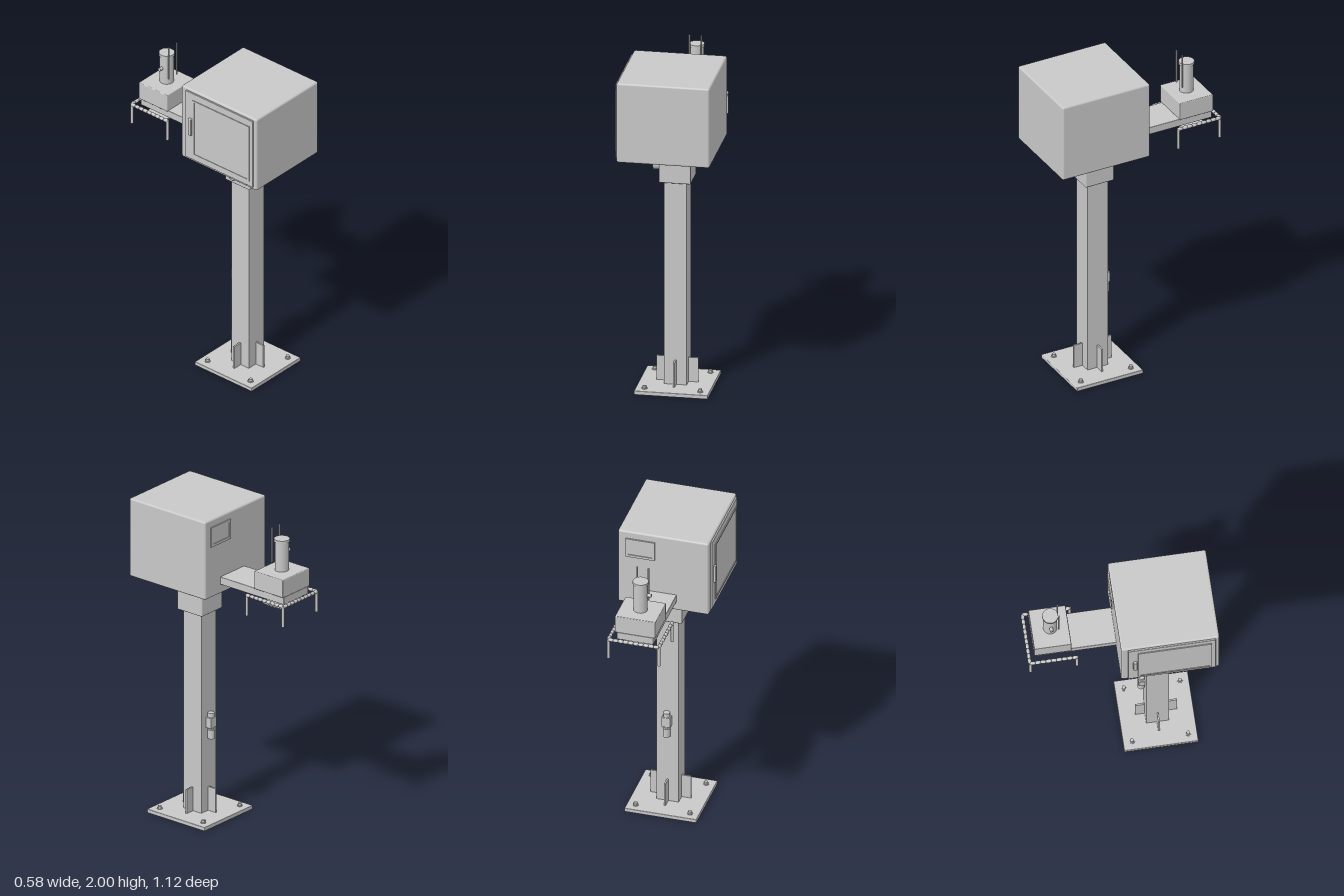
import * as THREE from 'three';
import { RoundedBoxGeometry } from 'three/addons/geometries/RoundedBoxGeometry.js';

export function createModel() {
  const root = new THREE.Group();
  const grey = new THREE.MeshStandardMaterial({ color: 0xc8c8c8 });
  grey.name = 'lightGrey';

  const add = (name, geometry, x = 0, y = 0, z = 0, parent = root) => {
    const m = new THREE.Mesh(geometry, grey);
    m.name = name;
    m.position.set(x, y, z);
    parent.add(m);
    return m;
  };
  // Box given by its limits on each axis, optionally with rounded edges
  const block = (name, [x0, x1], [y0, y1], [z0, z1], r = 0) => {
    const s = [x1 - x0, y1 - y0, z1 - z0];
    const g = r ? new RoundedBoxGeometry(...s, 2, r) : new THREE.BoxGeometry(...s);
    return add(name, g, (x0 + x1) / 2, (y0 + y1) / 2, (z0 + z1) / 2);
  };
  // Upright cylinder between two heights
  const rod = (name, r, y0, y1, x, z, sides = 20) =>
    add(name, new THREE.CylinderGeometry(r, r, y1 - y0, sides), x, (y0 + y1) / 2, z);
  // Rectangular frame with an opening, lying in the xy plane
  const frame = (w, h, border, depth) => {
    const rect = (C, a, b) => new C([[-a, -b], [a, -b], [a, b], [-a, b]].map(p => new THREE.Vector2(...p)));
    const shape = rect(THREE.Shape, w / 2, h / 2);
    shape.holes.push(rect(THREE.Path, w / 2 - border, h / 2 - border));
    return new THREE.ExtrudeGeometry(shape, { depth, bevelEnabled: false });
  };

  const cx = 0.037, cz = 0.223;

  // Base plate, bolts and gussets
  block('basePlate', [-0.185, 0.259], [0, 0.025], [0.001, 0.445], 0.004);
  for (const sx of [-1, 1]) for (const sz of [-1, 1]) {
    rod('boltWasher', 0.017, 0.024, 0.03, cx + sx * 0.168, cz + sz * 0.168, 16);
    rod('bolt', 0.012, 0.03, 0.043, cx + sx * 0.168, cz + sz * 0.168, 6);
  }
  for (let i = 0; i < 4; i++) {
    const a = i * Math.PI / 2;
    const g = add('gusset', new THREE.BoxGeometry(0.06, 0.155, 0.01),
      cx + Math.cos(a) * 0.096, 0.1, cz + Math.sin(a) * 0.096);
    g.rotation.y = -a;
  }

  // Column and collar
  block('column', [-0.031, 0.105], [0.02, 1.5], [0.155, 0.291]);
  block('collar', [-0.059, 0.133], [1.3, 1.465], [0.127, 0.319], 0.008);

  // Cable gland on the side of the collar
  const gland = add('cableGland', new THREE.LatheGeometry(
    [[0, -0.022], [0.026, -0.022], [0.033, -0.016], [0.033, 0.016], [0.028, 0.022], [0.014, 0.022], [0.014, 0.04], [0, 0.04]]
      .map(p => new THREE.Vector2(...p)), 12), -0.088, 1.385, cz);
  gland.rotation.z = -Math.PI / 2;

  // Tap on the back of the column
  block('tapBody', [0.01, 0.064], [0.562, 0.63], [0.115, 0.156], 0.004);
  rod('tapCap', 0.02, 0.63, 0.657, cx, 0.136);
  rod('tapNeck', 0.014, 0.54, 0.565, cx, 0.136);
  rod('tapSpout', 0.022, 0.493, 0.55, cx, 0.134);

  // Cabinet
  block('cabinet', [-0.27, 0.29], [1.5, 2], [-0.03, 0.558], 0.012);

  // Cabinet door with window and handle
  block('door', [-0.28, -0.268], [1.52, 1.985], [0.01, 0.535], 0.004);
  const doorFrame = add('doorWindowFrame', frame(0.44, 0.385, 0.012, 0.006), -0.279, 1.747, 0.29);
  doorFrame.rotation.y = -Math.PI / 2;
  block('doorWindow', [-0.282, -0.278], [1.565, 1.93], [0.08, 0.5]);
  block('doorHandle', [-0.295, -0.278], [1.69, 1.807], [0.04, 0.064], 0.005);

  // Small display window on the back of the cabinet
  const displayFrame = add('displayFrame', frame(0.18, 0.125, 0.016, 0.01), 0.151, 1.89, -0.029);
  displayFrame.rotation.y = Math.PI;
  block('displayPane', [0.07, 0.232], [1.84, 1.94], [-0.034, -0.029]);

  // Arm and instrument housing
  block('arm', [-0.073, 0.151], [1.56, 1.608], [-0.52, -0.028], 0.004);
  block('instrumentHousing', [-0.087, 0.163], [1.608, 1.722], [-0.523, -0.3], 0.005);

  // Sensor head with cap, nozzle and two antennas
  const hz = -0.41;
  rod('sensorTube', 0.042, 1.72, 1.908, cx, hz, 32);
  rod('sensorCap', 0.047, 1.905, 1.922, cx, hz, 32);
  const nozzle = add('nozzle', new THREE.CylinderGeometry(0.008, 0.008, 0.03, 12), 0, 1.83, hz);
  nozzle.rotation.z = Math.PI / 2;
  const nozzleTip = add('nozzleTip', new THREE.CylinderGeometry(0.011, 0.011, 0.022, 12), -0.019, 1.83, hz);
  nozzleTip.rotation.z = Math.PI / 2;
  for (const s of [-1, 1]) {
    rod('antenna', 0.005, 1.77, 1.988, cx + s * 0.035, -0.363, 10);
  }

  // Plate hanging under the arm
  rod('hangerStem', 0.011, 1.52, 1.562, cx, hz, 12);
  block('hangerPlate', [cx - 0.09, cx + 0.09], [1.513, 1.525], [-0.485, -0.335], 0.003);
  block('hangerPlateBase', [cx - 0.08, cx + 0.08], [1.505, 1.514], [-0.475, -0.345]);

  // Beaded rail around the instrument, on four legs
  const rail = new THREE.Group();
  rail.name = 'beadedRail';
  root.add(rail);
  const bead = len => new THREE.LatheGeometry(
    [[0, -0.5], [0.0085, -0.5], [0.0105, -0.3], [0.0115, 0], [0.0105, 0.3], [0.0085, 0.5], [0, 0.5]]
      .map(([r, t]) => new THREE.Vector2(r, t * len)), 12);
  const railY = 1.57, xl = -0.117, xr = 0.194, zn = -0.267, zf = -0.553;
  const run = (x0, z0, x1, z1, n) => {
    const a = new THREE.Vector3(x0, railY, z0), b = new THREE.Vector3(x1, railY, z1);
    const len = a.distanceTo(b) / n, g = bead(len);
    const dir = b.clone().sub(a).normalize();
    for (let i = 0; i < n; i++) {
      const p = a.clone().lerp(b, (i + 0.5) / n);
      const m = add('railBead', g, p.x, p.y, p.z, rail);
      m.quaternion.setFromUnitVectors(new THREE.Vector3(0, 1, 0), dir);
    }
  };
  run(xl, zn, xl, zf, 9);
  run(xr, zn, xr, zf, 9);
  run(xl, zf, xr, zf, 10);
  for (const x of [xl, xr]) for (const z of [zn - 0.004, zf + 0.004]) {
    rod('railLeg', 0.009, 1.44, 1.575, x, z, 12);
  }

  return root;
}
